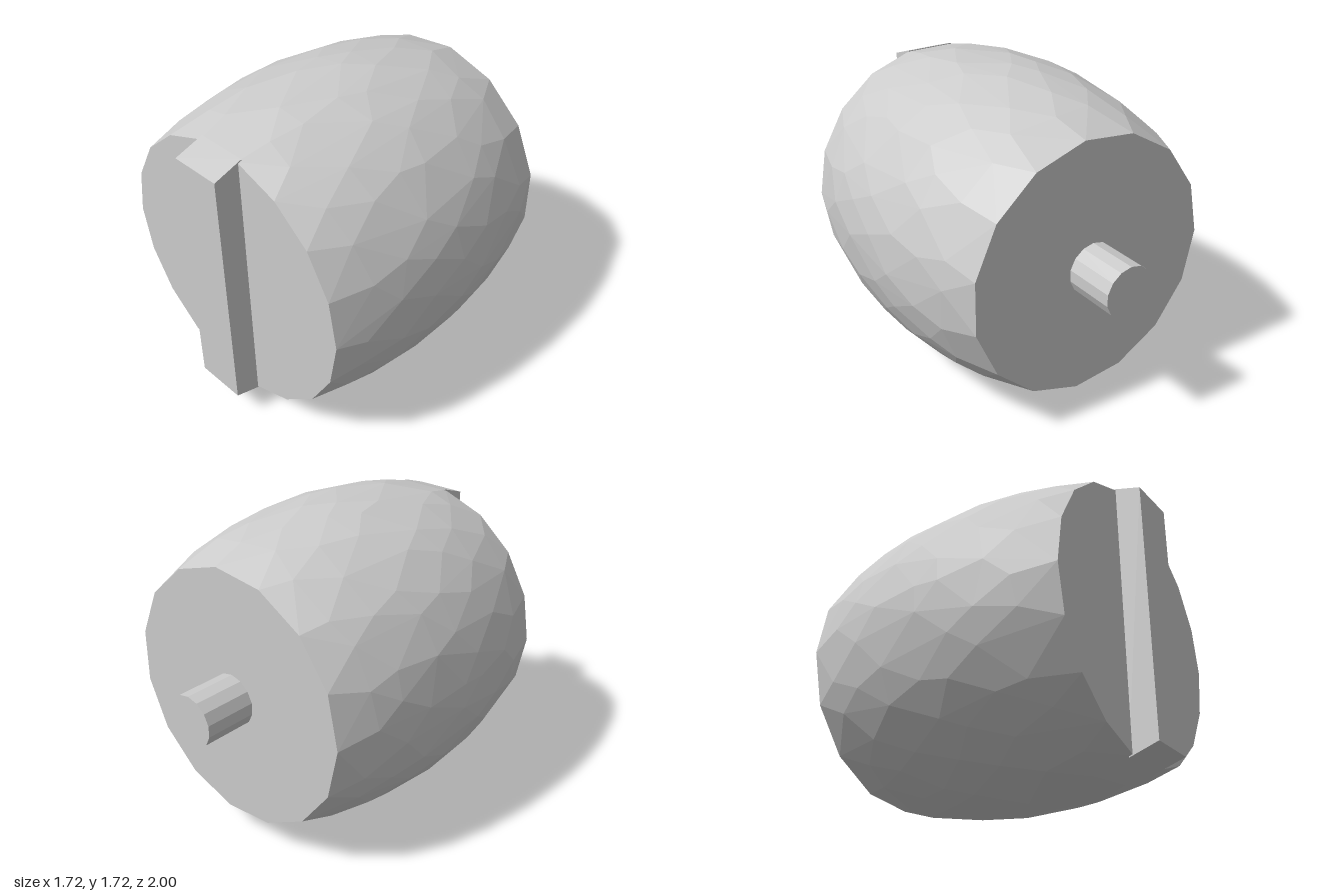
import * as THREE from 'three';
import { ConvexGeometry } from 'three/addons/geometries/ConvexGeometry.js';

const AXIS_Y = 0.862;   // height of the barrel's axis
const MID_Z = 0.14;     // widest point of the barrel
const FRONT_Z = 0.86;
const BACK_Z = -0.715;

// Barrel radius: a slice of a long ellipsoid
const radiusAt = (z) => 0.861 * Math.sqrt(1 - ((z - MID_Z) / 1.51) ** 2);

function seeded(seed) {
  return () => {
    seed = (seed * 16807) % 2147483647;
    return seed / 2147483647 - 0.5;
  };
}

export function createModel() {
  const group = new THREE.Group();
  const material = new THREE.MeshStandardMaterial({ color: 0xcccccc, flatShading: true });
  const add = (name, geometry) => {
    const mesh = new THREE.Mesh(geometry, material);
    mesh.name = name;
    group.add(mesh);
    return mesh;
  };

  // Faceted barrel: staggered rings of slightly irregular points, flat at both ends
  const rand = seeded(71);
  const points = [];
  const ring = (z, count, offset, jitter) => {
    for (let i = 0; i < count; i++) {
      const a = ((i + offset + rand() * jitter) / count) * Math.PI * 2;
      const pz = z + rand() * jitter * 0.2;
      const r = radiusAt(pz);
      points.push(new THREE.Vector3(Math.sin(a) * r, AXIS_Y + Math.cos(a) * r, pz));
    }
  };
  ring(FRONT_Z, 18, 0.5, 0);
  const rows = 8;
  for (let i = 1; i < rows; i++) {
    ring(THREE.MathUtils.lerp(FRONT_Z, BACK_Z, i / rows), 22, (i % 2) / 2, 0.5);
  }
  ring(BACK_Z, 15, 0.25, 0);
  add('barrel', new ConvexGeometry(points));

  // Upright rib across the front face, its ends following the barrel's curve
  const rib = new THREE.BoxGeometry(0.283, 2, 0.16);
  rib.translate(0, 0, 0.92);
  const p = rib.attributes.position;
  for (let i = 0; i < p.count; i++) {
    p.setY(i, AXIS_Y + Math.sign(p.getY(i)) * (p.getZ(i) > 0.9 ? 0.703 : 0.755));
  }
  rib.computeVertexNormals();
  add('frontRib', rib);

  // Short round shaft at the back
  const shaft = new THREE.CylinderGeometry(0.142, 0.142, 0.32, 14);
  shaft.rotateX(Math.PI / 2);
  add('backShaft', shaft).position.set(0, AXIS_Y, -0.84);

  return group;
}
